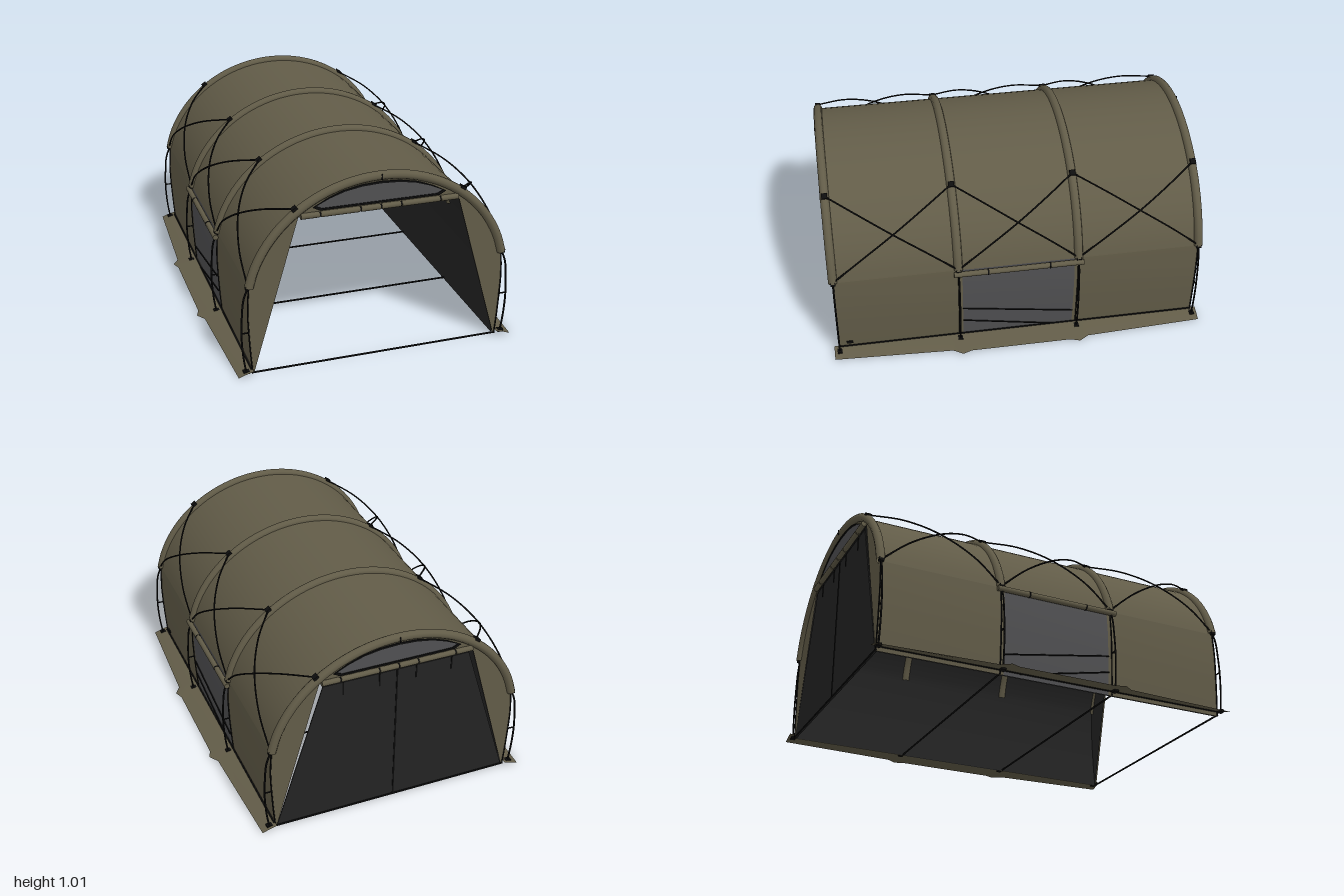
import * as THREE from 'three';

const mat = (name, color) => {
  const m = new THREE.MeshStandardMaterial({ color, side: THREE.DoubleSide });
  m.name = name;
  return m;
};

export function createModel() {
  const olive = mat('olive canvas', 0x625c48);
  const lining = mat('dark lining', 0x232323);
  const mesh = mat('grey window mesh', 0x505052);
  const black = mat('black webbing', 0x0d0d0d);
  const root = new THREE.Group();
  const V = (x, y, z = 0) => new THREE.Vector3(x, y, z);
  const bays = [-0.972, -0.32, 0.32, 0.972];

  const add = (name, geo, material, parent = root) => {
    const m = new THREE.Mesh(geo, material);
    m.name = name;
    parent.add(m);
    return m;
  };
  const box = (name, size, pos, material, parent) => {
    const m = add(name, new THREE.BoxGeometry(...size), material, parent);
    m.position.set(...pos);
    return m;
  };
  const cord = (name, pts, r, material, parent, seg = 24, sides = 6) =>
    add(name, new THREE.TubeGeometry(new THREE.CatmullRomCurve3(pts), seg, r, sides), material, parent);
  const rod = (name, a, b, r, material, parent, sides = 6) => {
    const d = b.clone().sub(a);
    const m = add(name, new THREE.CylinderGeometry(r, r, d.length(), sides), material, parent);
    m.position.copy(a).add(b).multiplyScalar(0.5);
    m.quaternion.setFromUnitVectors(V(0, 1, 0), d.normalize());
    return m;
  };

  // Cross-section of the tunnel: elliptical roof over nearly upright walls
  const startAngle = Math.asin(0.125 / 0.63);
  const roof = [];
  for (let i = 0; i <= 40; i++) {
    const a = startAngle + (Math.PI - 2 * startAngle) * i / 40;
    roof.push(new THREE.Vector2(0.68 * Math.cos(a), 0.355 + 0.63 * Math.sin(a)));
  }
  const wall = [[0.655, 0], [0.663, 0.1], [0.67, 0.22], [0.674, 0.35], [roof[0].x, 0.48]]
    .map(p => new THREE.Vector2(...p));
  const wallR = wall.map(p => new THREE.Vector2(-p.x, p.y)).reverse();
  const full = [...wall.slice(0, -1), ...roof, ...wallR.slice(1)];

  // Sheet swept along z from a cross-section
  const sheet = (name, profile, z0, z1, material, parent) => {
    const pos = [], idx = [];
    profile.forEach((p, i) => {
      pos.push(p.x, p.y, z0, p.x, p.y, z1);
      if (i) {
        const a = 2 * i - 2;
        idx.push(a, a + 2, a + 1, a + 1, a + 2, a + 3);
      }
    });
    const g = new THREE.BufferGeometry();
    g.setAttribute('position', new THREE.Float32BufferAttribute(pos, 3));
    g.setIndex(idx);
    g.computeVertexNormals();
    return add(name, g, material, parent);
  };

  sheet('roof', roof, 0.972, -0.972, olive);
  const inner = full.map(p => new THREE.Vector2(p.x * 0.988, p.y * 0.99));
  sheet('innerLining', inner.reverse(), 0.96, -0.96, lining);

  // Arch sleeves, tie tabs and floor straps at each bay
  for (const z of bays) {
    cord('archSleeve', roof.filter((p, i) => i % 2 === 0).map(p => V(p.x, p.y + 0.002, z)), 0.023, olive, root, 60, 10);
    rod('floorStrap', V(-0.66, 0.006, z), V(0.66, 0.006, z), 0.005, black);
  }

  // Both sides, the right one mirrored in its coordinates
  for (const s of [1, -1]) {
    const side = new THREE.Group();
    side.name = s > 0 ? 'leftSide' : 'rightSide';
    root.add(side);
    const profile = s > 0 ? wall : wallR;
    sheet('frontWall', profile, 0.972, 0.3, olive, side);
    sheet('rearWall', profile, -0.3, -0.972, olive, side);
    sheet('sideWindow', profile, 0.3, -0.3, mesh, side);

    // Rolled window cover with straps
    rod('windowRoll', V(s * 0.684, 0.465, -0.345), V(s * 0.684, 0.465, 0.345), 0.015, olive, side, 10);
    for (const z of [-0.165, 0.165]) {
      rod('rollStrap', V(s * 0.684, 0.465, z - 0.004), V(s * 0.684, 0.465, z + 0.004), 0.0165, black, side, 10);
    }
    rod('windowCord', V(s * 0.674, 0.215, 0.3), V(s * 0.667, 0.11, -0.3), 0.004, black, side);
    rod('windowCord', V(s * 0.669, 0.125, 0.3), V(s * 0.661, 0.02, -0.21), 0.004, black, side);

    for (const z of bays) {
      const tab = box('tieTab', [0.03, 0.022, 0.03], [s * 0.433, 0.866, z], black, side);
      tab.rotation.z = -s * 0.6;
      box('ropeAnchor', [0.02, 0.02, 0.025], [s * 0.675, 0.485, z], black, side);
      box('footAnchor', [0.03, 0.015, 0.025], [s * 0.69, 0.016, z], black, side);
      cord('lowerTensionRope', [[0.672, 0.48], [0.694, 0.42], [0.705, 0.32], [0.709, 0.22], [0.702, 0.1], [0.69, 0.015]]
        .map(p => V(s * p[0], p[1], z)), 0.005, black, side);
      rod('ropeSpacer', V(s * 0.668, 0.235, z), V(s * 0.71, 0.235, z), 0.004, black, side);
      cord('wallSeam', wall.map(p => V(s * (p.x + 0.001), p.y, z)), 0.004, black, side);
    }

    // Crossing tension ropes over each bay
    const path = [[0.433, 0.868, 0], [0.55, 0.812, 0.25], [0.63, 0.73, 0.5], [0.672, 0.615, 0.77], [0.672, 0.487, 1]];
    for (let b = 0; b < 3; b++) {
      for (const [z0, z1] of [[bays[b], bays[b + 1]], [bays[b + 1], bays[b]]]) {
        cord('crossRope', path.map(p => V(s * p[0], p[1], z0 + (z1 - z0) * p[2])), 0.0045, black, side, 32);
      }
    }

    // Ground flap, widened at the middle bays
    const half = [[0, 0.78], [0.27, 0.78], [0.32, 0.798], [0.37, 0.765], [1, 0.735]];
    const rows = [...half.slice(1).reverse().map(r => [-r[0], r[1]]), ...half];
    const pos = [], idx = [];
    rows.forEach(([z, x], i) => {
      pos.push(s * 0.657, 0.026, z, s * (x * 0.5 + 0.335), 0.014, z, s * x, 0.002, z);
      if (i) {
        for (let k = 0; k < 2; k++) {
          const a = 3 * (i - 1) + k, c = a + 3;
          idx.push(...(s > 0 ? [a, c, a + 1, a + 1, c, c + 1] : [a, a + 1, c, a + 1, c + 1, c]));
        }
      }
    });
    const g = new THREE.BufferGeometry();
    g.setAttribute('position', new THREE.Float32BufferAttribute(pos, 3));
    g.setIndex(idx);
    g.computeVertexNormals();
    add('groundFlap', g, olive, side);
    rod('baseCord', V(s * 0.662, 0.024, -0.972), V(s * 0.662, 0.024, 0.972), 0.005, black, side);
  }
  box('sideTag', [0.006, 0.015, 0.035], [0.662, 0.05, 0.915], black);

  // End walls with a trapezoid doorway, arched window and rolled door
  const endShape = new THREE.Shape([...full,
    ...[[-0.65, 0], [-0.415, 0.82], [0.415, 0.82], [0.65, 0]].map(p => new THREE.Vector2(...p))]);
  const windowPoints = (k) => {
    const pts = [[-0.31, 0.846], [0.31, 0.846], [0.342, 0.864], [0.27, 0.903], [0.19, 0.934], [0.1, 0.952],
      [0, 0.958], [-0.1, 0.952], [-0.19, 0.934], [-0.27, 0.903], [-0.342, 0.864]];
    return pts.map(([x, y]) => new THREE.Vector2(x * k, 0.9 + (y - 0.9) * (1 - (1 - k) * 4)));
  };
  const frameShape = new THREE.Shape(windowPoints(1));
  frameShape.holes.push(new THREE.Path(windowPoints(0.955)));
  const gaps = [-0.41, -0.31, -0.105, 0, 0.105, 0.31, 0.41];

  for (const s of [1, -1]) {
    const end = new THREE.Group();
    end.name = s > 0 ? 'frontEnd' : 'rearEnd';
    end.rotation.y = s > 0 ? 0 : Math.PI;
    root.add(end);
    add('endWall', new THREE.ShapeGeometry(endShape), olive, end).position.z = 0.972;
    add('endLining', new THREE.ShapeGeometry(endShape), lining, end).position.z = 0.964;
    add('ventWindow', new THREE.ShapeGeometry(new THREE.Shape(windowPoints(0.97))), mesh, end).position.z = 0.976;
    add('ventFrame', new THREE.ExtrudeGeometry(frameShape, { depth: 0.006, bevelEnabled: false }), black, end)
      .position.z = 0.974;
    for (let i = 0; i < gaps.length - 1; i++) {
      rod('doorRoll', V(gaps[i] + 0.004, 0.828, 0.982), V(gaps[i + 1] - 0.004, 0.828, 0.982), 0.015, olive, end, 10);
      if (i) rod('rollTie', V(gaps[i] - 0.005, 0.828, 0.982), V(gaps[i] + 0.005, 0.828, 0.982), 0.012, black, end, 8);
    }
    box('archSeam', [0.005, 0.03, 0.004], [0, 0.985, 0.994], black, end);
  }

  // Closed rear door
  const door = new THREE.Group();
  door.name = 'rearDoor';
  root.add(door);
  const doorShape = new THREE.Shape([[-0.648, 0], [0.648, 0], [0.396, 0.8], [-0.396, 0.8]]
    .map(p => new THREE.Vector2(...p)));
  add('doorPanel', new THREE.ExtrudeGeometry(doorShape, { depth: 0.006, bevelEnabled: false }), lining, door)
    .position.z = -0.973;
  box('doorZip', [0.008, 0.8, 0.012], [0, 0.4, -0.97], black, door);
  box('doorHem', [1.3, 0.01, 0.012], [0, 0.006, -0.97], black, door);
  for (const x of [-0.3, -0.105, 0.095, 0.29]) {
    box('doorStrap', [0.007, 0.075, 0.012], [x, 0.763, -0.97], black, door);
  }
  return root;
}
